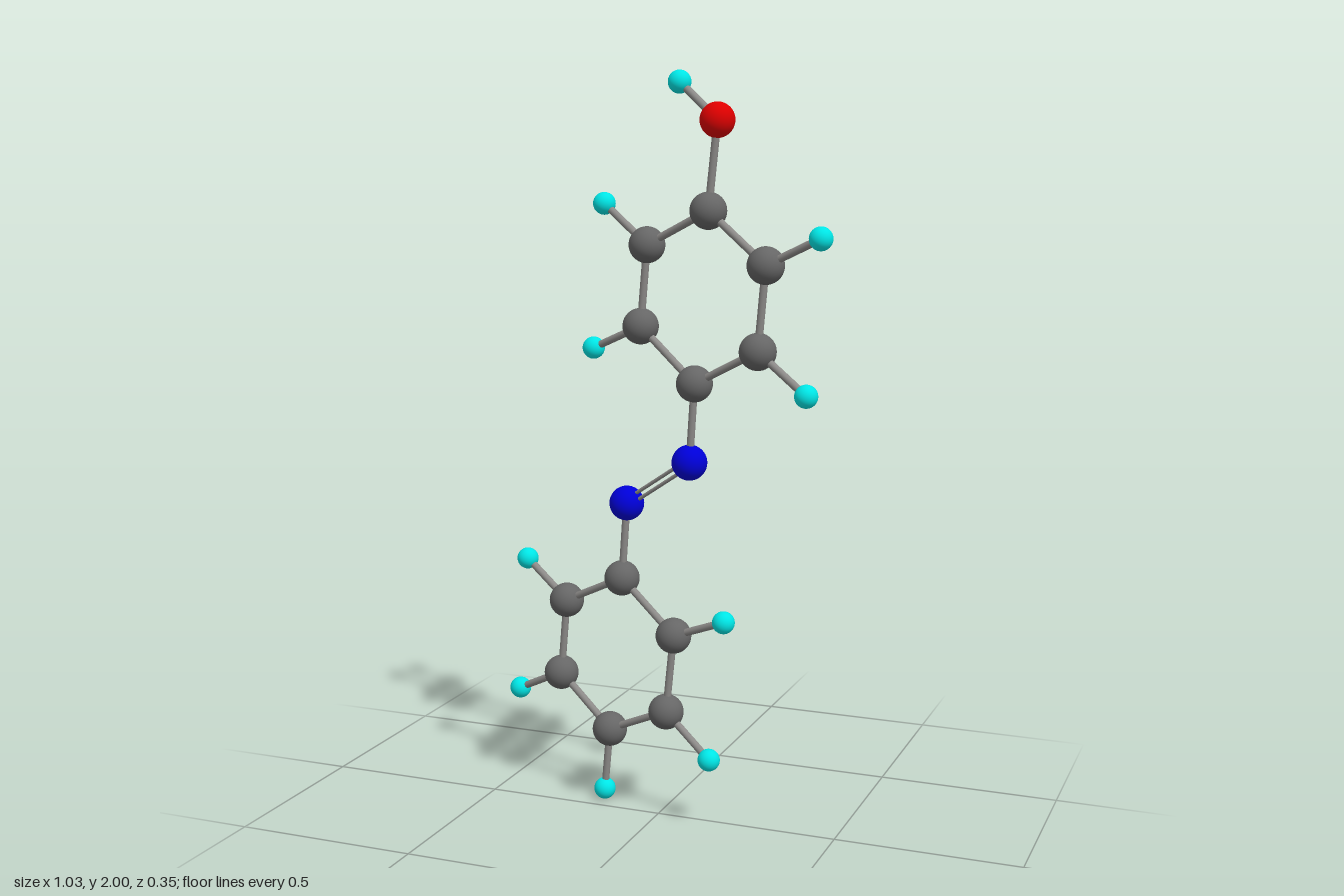
import * as THREE from 'three';

const material = (color) => new THREE.MeshStandardMaterial({ color });

// Ball styles: radius and colour
const styles = {
  carbon: { radius: 0.048, mat: material(0x666666) },
  hydrogen: { radius: 0.03, mat: material(0x00e6e6) },
  nitrogen: { radius: 0.047, mat: material(0x0000d8) },
  oxygen: { radius: 0.045, mat: material(0xdd0000) },
};
const stickMat = material(0x8c8a88);
const UP = new THREE.Vector3(0, 1, 0);

function addBall(parent, kind, p) {
  const { radius, mat } = styles[kind];
  const ball = new THREE.Mesh(new THREE.SphereGeometry(radius, 32, 20), mat);
  ball.name = kind + 'Ball';
  ball.position.copy(p);
  parent.add(ball);
}

function addStick(parent, a, b, radius = 0.01) {
  const dir = b.clone().sub(a);
  const geo = new THREE.CylinderGeometry(radius, radius, dir.length(), 16);
  const stick = new THREE.Mesh(geo, stickMat);
  stick.name = 'stick';
  stick.position.copy(a).add(b).multiplyScalar(0.5);
  stick.quaternion.setFromUnitVectors(UP, dir.normalize());
  parent.add(stick);
}

// Six carbons joined in a loop; each may carry a hydrogen
function makeRing(name, carbons, hydrogens) {
  const ring = new THREE.Group();
  ring.name = name;
  carbons.forEach((c, i) => {
    addBall(ring, 'carbon', c);
    addStick(ring, c, carbons[(i + 1) % carbons.length]);
    if (hydrogens[i]) {
      addBall(ring, 'hydrogen', hydrogens[i]);
      addStick(ring, c, hydrogens[i]);
    }
  });
  return ring;
}

const points = (list) => list.map((p) => p && new THREE.Vector3(...p));

export function createModel() {
  const model = new THREE.Group();
  model.name = 'ballAndStickMolecule';

  // Upper ring, clockwise from its top carbon
  const upper = points([
    [0.156, 1.65, 0.052], [0.326, 1.52, 0.101], [0.305, 1.303, 0.094],
    [0.115, 1.205, 0.038], [-0.055, 1.343, -0.012], [-0.034, 1.557, -0.005],
  ]);
  const upperH = points([
    null, [0.481, 1.592, 0.147], [0.446, 1.203, 0.136],
    null, [-0.211, 1.274, -0.06], [-0.172, 1.66, -0.047],
  ]);
  model.add(makeRing('upperRing', upper, upperH));

  // Lower ring, clockwise from its top carbon
  const lower = points([
    [-0.119, 0.651, -0.032], [0.05, 0.519, 0.017], [0.026, 0.302, 0.01],
    [-0.164, 0.212, -0.048], [-0.333, 0.342, -0.098], [-0.312, 0.556, -0.092],
  ]);
  const lowerH = points([
    null, [0.208, 0.583, 0.064], [0.164, 0.196, 0.05],
    [-0.182, 0.034, -0.053], [-0.486, 0.265, -0.147], [-0.452, 0.654, -0.136],
  ]);
  model.add(makeRing('lowerRing', lower, lowerH));

  // Two nitrogens with a double stick link the rings
  const bridge = new THREE.Group();
  bridge.name = 'nitrogenBridge';
  const [n1, n2] = points([[0.1, 0.996, 0.033], [-0.103, 0.861, -0.029]]);
  addBall(bridge, 'nitrogen', n1);
  addBall(bridge, 'nitrogen', n2);
  addStick(bridge, upper[3], n1);
  addStick(bridge, lower[0], n2);
  const planeNormal = new THREE.Vector3(-0.29, 0, 0.96);
  const side = n1.clone().sub(n2).cross(planeNormal).normalize();
  for (const s of [-0.009, 0.009]) {
    const offset = side.clone().multiplyScalar(s);
    addStick(bridge, n1.clone().add(offset), n2.clone().add(offset), 0.005);
  }
  model.add(bridge);

  // Oxygen with its hydrogen on top
  const cap = new THREE.Group();
  cap.name = 'hydroxylCap';
  const [o, h] = points([[0.182, 1.876, 0.06], [0.067, 1.971, 0.024]]);
  addBall(cap, 'oxygen', o);
  addBall(cap, 'hydrogen', h);
  addStick(cap, upper[0], o);
  addStick(cap, o, h);
  model.add(cap);

  return model;
}
